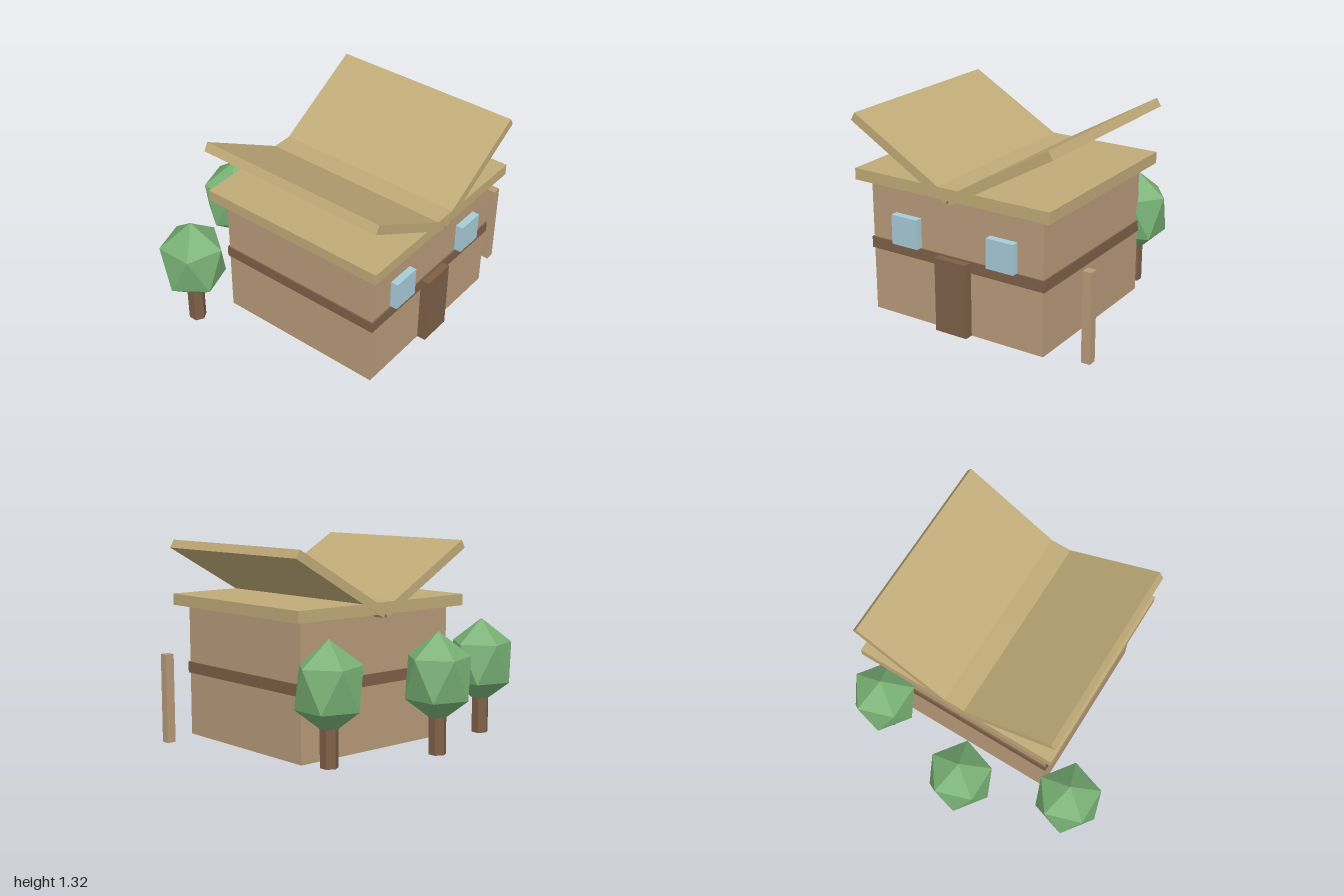
import * as THREE from 'three';

const mat = (color, flatShading = false) => {
  const m = new THREE.MeshStandardMaterial({ color });
  m.flatShading = flatShading;
  return m;
};

export function createModel() {
  const model = new THREE.Group();
  model.name = 'house';

  const wallMat = mat(0xb89b7a);
  const roofMat = mat(0xc0aa78);
  const woodMat = mat(0x7d6048);
  const glassMat = mat(0xa8ccd8);
  const trunkMat = mat(0x7d6048, true);
  const leafMat = mat(0x78b074, true);

  // Box given by its minimum and maximum corners
  const box = (name, material, [x0, y0, z0], [x1, y1, z1]) => {
    const mesh = new THREE.Mesh(new THREE.BoxGeometry(x1 - x0, y1 - y0, z1 - z0), material);
    mesh.position.set((x0 + x1) / 2, (y0 + y1) / 2, (z0 + z1) / 2);
    mesh.name = name;
    model.add(mesh);
    return mesh;
  };

  // House body, floor band, entrance and windows
  box('walls', wallMat, [-0.55, 0, -0.35], [0.72, 0.89, 0.82]);
  box('floorBand', woodMat, [-0.56, 0.425, -0.36], [0.73, 0.5, 0.83]);
  box('door', woodMat, [-0.03, 0, 0.81], [0.2, 0.49, 0.88]);
  box('windowRight', glassMat, [-0.365, 0.505, 0.81], [-0.17, 0.7, 0.87]);
  box('windowLeft', glassMat, [0.345, 0.505, 0.81], [0.54, 0.7, 0.87]);

  // Flat roof slab with two wings rising outward in a V
  box('roofSlab', roofMat, [-0.625, 0.887, -0.43], [0.8, 0.963, 0.89]);
  for (const side of [-1, 1]) {
    const wing = new THREE.Mesh(new THREE.BoxGeometry(0.82, 0.06, 1.322), roofMat);
    wing.position.set(0.089 + side * 0.358, 1.093, 0.23);
    wing.rotation.z = side * Math.PI / 6;
    wing.name = side < 0 ? 'roofWingRight' : 'roofWingLeft';
    model.add(wing);
  }

  // Free-standing post beside the house
  box('post', wallMat, [0.94, 0, 0.69], [1, 0.59, 0.75]);

  // Trees: hexagonal trunk and a tall icosahedron crown with one corner up
  const trunkGeo = new THREE.CylinderGeometry(0.058, 0.058, 0.3, 6).translate(0, 0.15, 0);
  const crownGeo = new THREE.IcosahedronGeometry(0.235, 0)
    .rotateZ(-Math.atan(2 / (1 + Math.sqrt(5))))
    .scale(1, 1.26, 1)
    .translate(0, 0.492, 0);
  for (const [x, z] of [[-0.79, -0.455], [-0.11, -0.7], [0.625, -0.5]]) {
    const tree = new THREE.Group();
    tree.name = 'tree';
    const trunk = new THREE.Mesh(trunkGeo, trunkMat);
    trunk.name = 'trunk';
    const crown = new THREE.Mesh(crownGeo, leafMat);
    crown.name = 'crown';
    tree.add(trunk, crown);
    tree.position.set(x, 0, z);
    model.add(tree);
  }

  return model;
}
